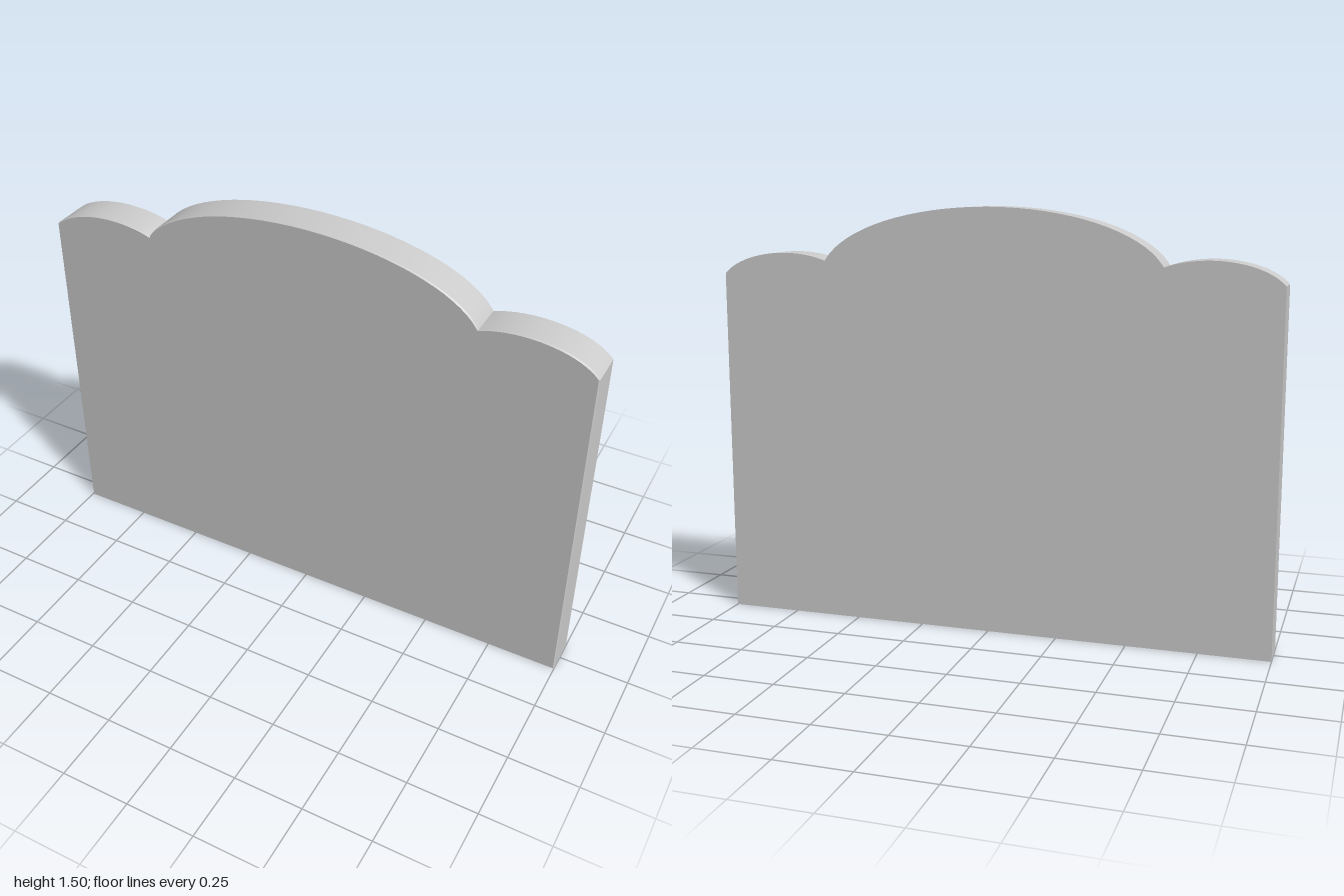
import * as THREE from 'three';
import { toCreasedNormals } from 'three/addons/utils/BufferGeometryUtils.js';

export function createModel() {
  const group = new THREE.Group();
  const material = new THREE.MeshStandardMaterial({ color: 0xcccccc });

  // Elliptical crown from x0 to x1, apex at (cx, cy + b)
  const crown = (cx, cy, a, b, x0, x1) => {
    const t0 = Math.acos((x0 - cx) / a), t1 = Math.acos((x1 - cx) / a);
    return Array.from({ length: 33 }, (_, i) => {
      const t = t0 + (t1 - t0) * i / 32;
      return new THREE.Vector2(cx + a * Math.cos(t), cy + b * Math.sin(t));
    });
  };

  // Outline: straight sides, low shoulders, wide raised centre
  const shoulder = crown(0.76, 1.206, 0.26, 0.127, 0.998, 0.605);
  const centre = crown(0, 1.25, 0.622, 0.25, 0.6, -0.6);
  const mirrored = shoulder.map(p => new THREE.Vector2(-p.x, p.y)).reverse();
  const outline = new THREE.Shape([
    new THREE.Vector2(-1, 0), new THREE.Vector2(1, 0), new THREE.Vector2(1, 1.255),
    ...shoulder.slice(1), ...centre, ...mirrored.slice(0, -1), new THREE.Vector2(-1, 1.255),
  ]);

  // Slab with a very fine chamfer around the front face
  const slab = new THREE.ExtrudeGeometry(outline, { depth: 2, steps: 2, bevelEnabled: false });
  const pos = slab.attributes.position;
  const layers = [-0.0625, 0.056, 0.0605];
  for (let i = 0; i < pos.count; i++) {
    const layer = Math.round(pos.getZ(i));
    const inset = layer === 2 ? 0.996 : 1;
    pos.setXYZ(i, pos.getX(i) * inset, pos.getY(i) * (layer === 2 ? 0.9975 : 1), layers[layer]);
  }
  const panel = new THREE.Mesh(toCreasedNormals(slab, 0.5), material);
  panel.name = 'headboardPanel';
  group.add(panel);
  return group;
}
